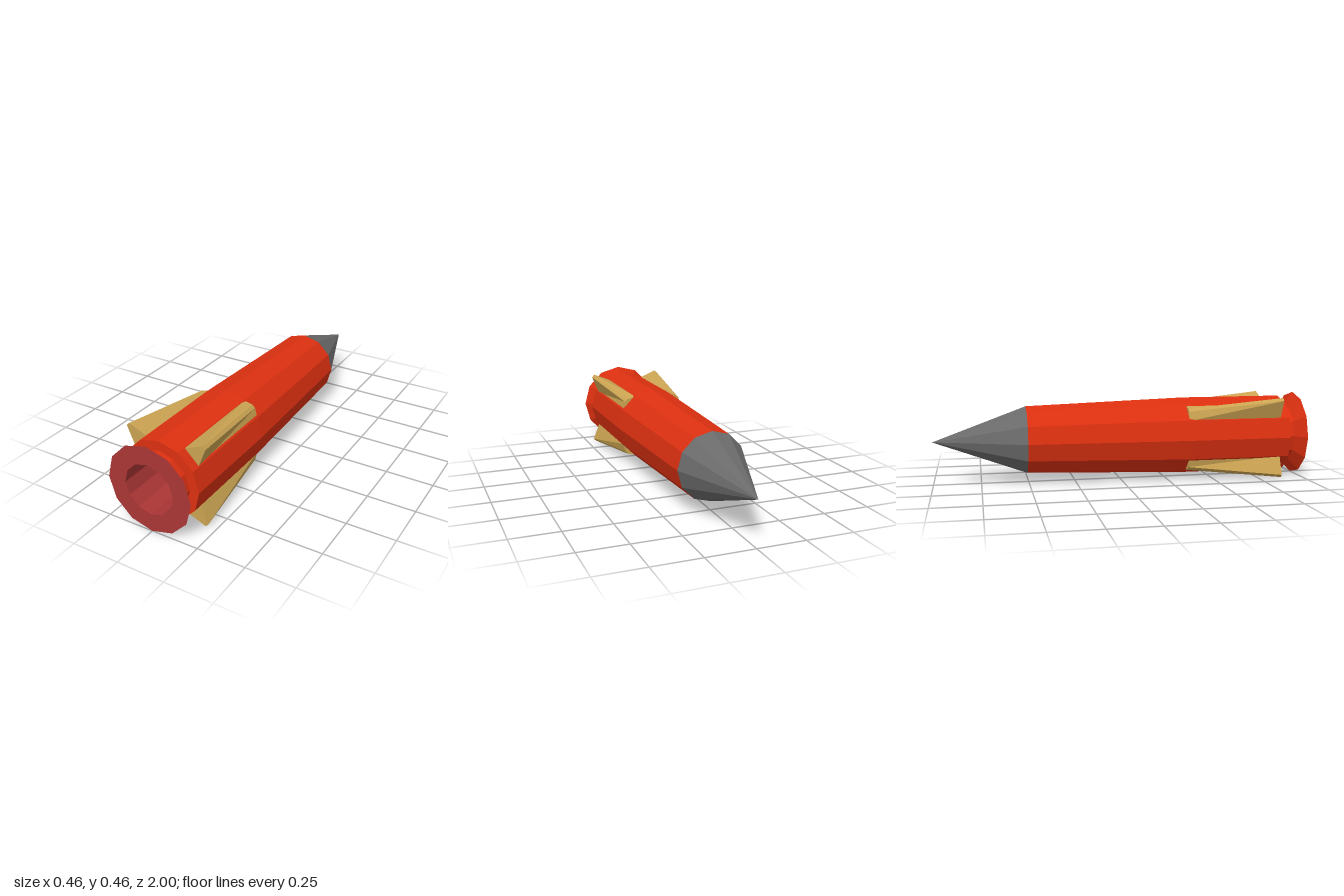
import * as THREE from 'three';

const AXIS_Y = 0.229;
const SIDES = 12;

const paint = (name, color) => {
  const m = new THREE.MeshStandardMaterial({ color, flatShading: true });
  m.name = name;
  return m;
};

// Faceted mesh with one normal per face
function facetedMesh(name, geometry, material) {
  const flat = geometry.toNonIndexed();
  flat.computeVertexNormals();
  const mesh = new THREE.Mesh(flat, material);
  mesh.name = name;
  return mesh;
}

// Twelve-sided turned part along z, from [z, radius] pairs
function turned(name, profile, material) {
  const points = profile.map(([z, r]) => new THREE.Vector2(r, z));
  const geometry = new THREE.LatheGeometry(points, SIDES).rotateX(Math.PI / 2);
  return facetedMesh(name, geometry, material);
}

// Wedge fin: wide at the root, narrow at the tip, taller toward the rear
function finGeometry() {
  const geometry = new THREE.BoxGeometry(1, 1, 1);
  const p = geometry.attributes.position;
  for (let i = 0; i < p.count; i++) {
    const tip = p.getY(i) > 0;
    const rear = p.getZ(i) > 0;
    const halfWidth = tip ? 0.0105 : 0.053;
    const radius = tip ? (rear ? 0.297 : 0.223) : 0.197;
    p.setXYZ(i, Math.sign(p.getX(i)) * halfWidth, radius, rear ? 0.86 : 0.345);
  }
  return geometry;
}

export function createModel() {
  const red = paint('body red', 0xdc3010);
  const crimson = paint('nozzle crimson', 0xab3636);
  const grey = paint('nose grey', 0x6a6a6a);
  const gold = paint('fin gold', 0xcba452);

  const model = new THREE.Group();
  model.name = 'rocket';

  // Nose, tapered body with neck and flared skirt, hollow nozzle
  model.add(turned('noseCone', [[-1, 0], [-0.51, 0.18]], grey));
  model.add(turned('body', [
    [-0.51, 0.18], [0.35, 0.21], [0.91, 0.21],
    [0.91, 0.16], [0.95, 0.16], [1, 0.229],
  ], red));
  model.add(turned('nozzle', [[1, 0.229], [1, 0.133], [0.7, 0.133], [0.7, 0]], crimson));

  // Four diagonal fins
  for (let i = 0; i < 4; i++) {
    const fin = facetedMesh('fin', finGeometry(), gold);
    fin.rotation.z = Math.PI / 4 + (i * Math.PI) / 2;
    model.add(fin);
  }

  model.position.y = AXIS_Y;
  const root = new THREE.Group();
  root.add(model);
  return root;
}
